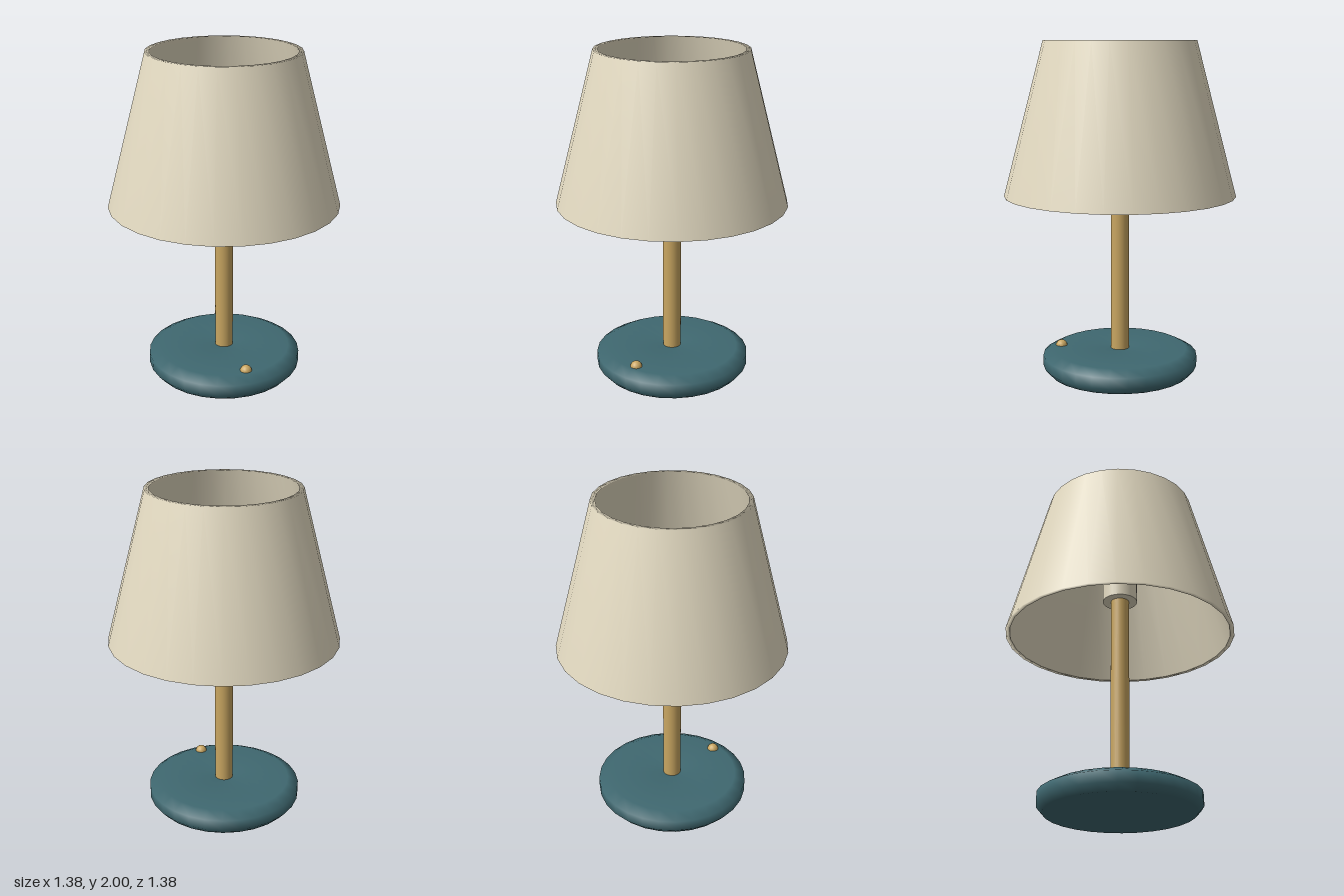
import * as THREE from 'three';

const SEGMENTS = 28;

const mat = (color) => new THREE.MeshStandardMaterial({ color, side: THREE.DoubleSide });

function part(name, geometry, material, y = 0, z = 0) {
  const mesh = new THREE.Mesh(geometry, material);
  mesh.name = name;
  mesh.position.set(0, y, z);
  return mesh;
}

// Turn a profile of [radius, height] pairs around the y axis
const turned = (profile) =>
  new THREE.LatheGeometry(profile.map(([r, y]) => new THREE.Vector2(r, y)), SEGMENTS);

// Upright cylinder between two heights
function rod(name, radius, bottom, top, material) {
  const geometry = new THREE.CylinderGeometry(radius, radius, top - bottom, SEGMENTS);
  return part(name, geometry, material, (bottom + top) / 2);
}

export function createModel() {
  const teal = mat(0x3f6870);
  const brass = mat(0xc9a661);
  const cream = mat(0xe4dbc2);

  const lamp = new THREE.Group();
  lamp.name = 'tableLamp';

  // Weighted disc with bevelled rim; the profile closes along the axis
  const base = turned([
    [0, 0.07], [0, 0], [0.435, 0], [0.47, 0.04],
    [0.47, 0.105], [0.405, 0.14], [0, 0.14], [0, 0.07],
  ]);

  // Tapered shell, open at both ends, softly shaded over its rims
  const shade = turned([
    [0.665, 1.09], [0.69, 1.09], [0.45, 2], [0.423, 2], [0.665, 1.09],
  ]);

  lamp.add(
    part('base', base, teal),
    rod('stem', 0.055, 0.12, 1.36, brass),
    rod('bulbSocket', 0.105, 1.33, 1.55, cream),
    part('shade', shade, cream),
    // Small domed switch on the front of the base
    part('switchButton', new THREE.SphereGeometry(0.036, 14, 10), brass, 0.137, 0.365),
  );
  return lamp;
}
